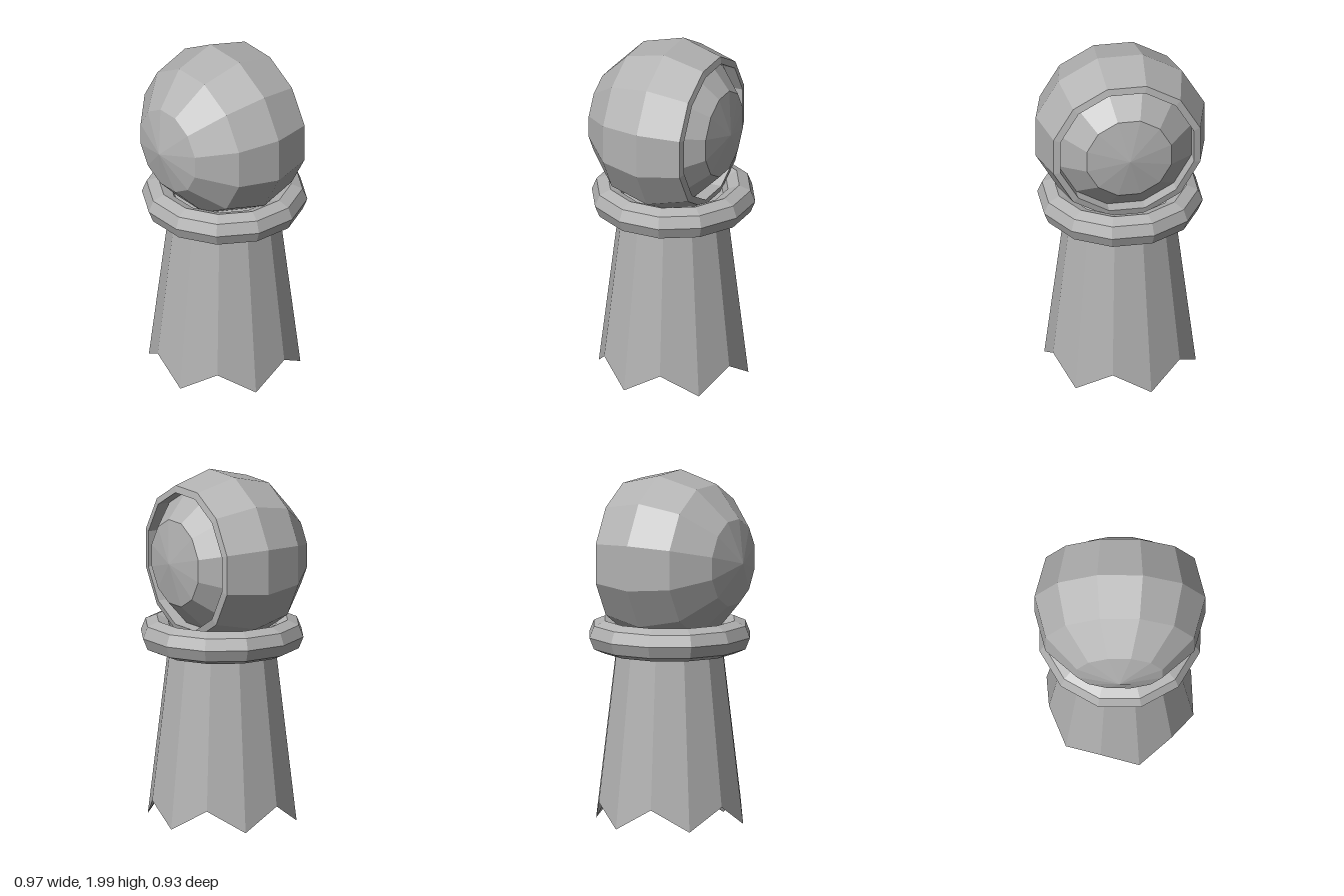
import * as THREE from 'three';

const SIDES = 12;
const STEP = (Math.PI * 2) / SIDES;

// Twelve-sided lathe turned half a step, so that flats face front, back and sides
function lathe(profile) {
  const points = profile.map(([r, y]) => new THREE.Vector2(r, y));
  return new THREE.LatheGeometry(points, SIDES, STEP / 2, Math.PI * 2);
}

function facetedMesh(name, geometry, material) {
  const flat = geometry.toNonIndexed();
  flat.computeVertexNormals();
  const mesh = new THREE.Mesh(flat, material);
  mesh.name = name;
  return mesh;
}

export function createModel() {
  const model = new THREE.Group();
  model.name = 'figure';
  const grey = new THREE.MeshStandardMaterial({ color: 0xb2b2b2, flatShading: true });
  grey.name = 'plain grey';

  // Round head lying along z: recessed dome and rim at the back, full ball in front
  const headShape = lathe([
    [0, -0.36], [0.25, -0.318], [0.395, -0.175], // recessed dome
    [0.395, -0.25], [0.435, -0.24],              // rim
    [0.5, 0], [0.435, 0.24], [0.25, 0.416], [0, 0.48],
  ]);
  headShape.rotateX(Math.PI / 2);
  const head = facetedMesh('head', headShape, grey);
  head.position.set(0, 1.517, -0.015);
  model.add(head);

  // Octagonal ring around the neck
  const ring = [];
  for (let i = 0; i <= 8; i++) {
    const t = (i * Math.PI) / 4;
    ring.push([0.378 + 0.092 * Math.cos(t), 1.072 + 0.094 * Math.sin(t)]);
  }
  const collar = facetedMesh('collar', lathe(ring), grey);
  collar.position.z = -0.015;
  model.add(collar);

  // Tapered body, hollow below; every second hem corner is raised to a zigzag
  const profile = [[0, 0.32], [0.27, 0.32], [0.43, 0.005], [0.3, 1.08], [0, 1.08]];
  const robe = lathe(profile);
  const pos = robe.attributes.position;
  const hem = 2;
  for (let i = 1; i <= SIDES; i += 2) {
    const v = i * profile.length + hem;
    const k = 0.415 / 0.43;
    pos.setXYZ(v, pos.getX(v) * k, 0.13, pos.getZ(v) * k);
  }
  const body = facetedMesh('body', robe, grey);
  body.position.z = -0.015;
  model.add(body);

  return model;
}
